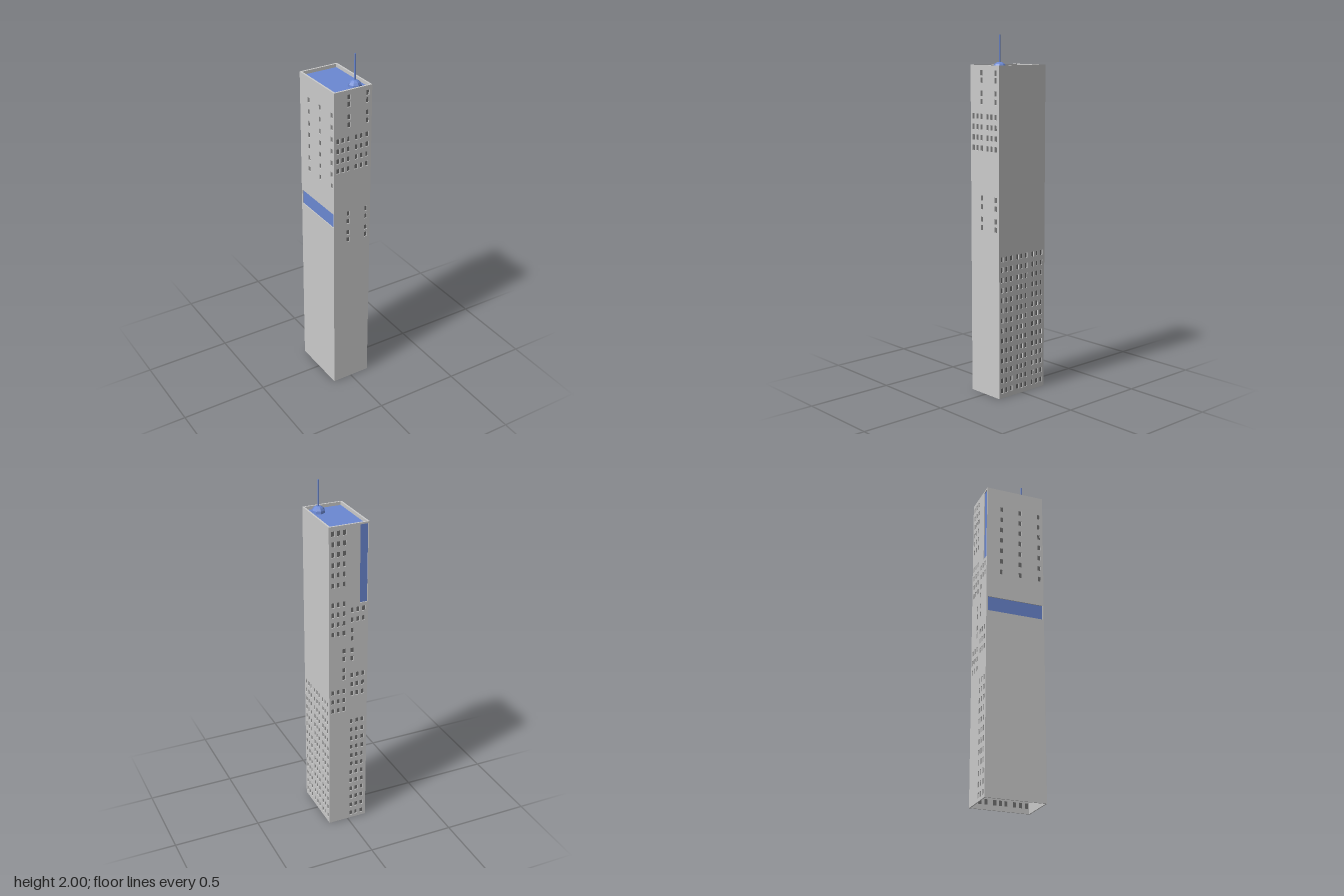
import * as THREE from 'three';
import { mergeGeometries } from 'three/addons/utils/BufferGeometryUtils.js';

const W = 0.23, D = 0.344, H = 1.84, T = 0.006; // tower width, depth, height, wall thickness
const WIN_W = 0.018, WIN_H = 0.029;

const grey = new THREE.MeshStandardMaterial({ color: 0xcccccc, flatShading: true, side: THREE.DoubleSide });
const dark = new THREE.MeshStandardMaterial({ color: 0x707070, side: THREE.DoubleSide });
const blue = new THREE.MeshStandardMaterial({ color: 0x6b88d2, flatShading: true, side: THREE.DoubleSide });

// Window columns, in triplets, measured from the middle of a face seen from outside
const NARROW = [-0.092, -0.06, -0.026, 0.022, 0.054, 0.088];
const WIDE = [-0.151, -0.117, -0.083, -0.035, -0.003, 0.03, 0.08, 0.114, 0.147];
const pick = (cols, ...ids) => ids.map(i => cols[i]);
const rows = (top, count, step = 0.0575) => Array.from({ length: count }, (_, i) => top - i * step);

function part(name, geometry, material) {
  const mesh = new THREE.Mesh(geometry, material);
  mesh.name = name;
  return mesh;
}

function rectPath(PathType, cx, cy, w, h) {
  const p = new PathType();
  p.moveTo(cx - w / 2, cy - h / 2);
  p.lineTo(cx + w / 2, cy - h / 2);
  p.lineTo(cx + w / 2, cy + h / 2);
  p.lineTo(cx - w / 2, cy + h / 2);
  p.closePath();
  return p;
}

// A pane lying at the back of an opening
function pane({ cx, cy, w, h }) {
  return new THREE.PlaneGeometry(w, h).translate(cx, cy, -T + 0.001);
}

// Wall with recessed windows (blocks of [columns, rows]) and an optional blue panel
function makeWall(name, width, blocks, panel) {
  const wall = new THREE.Group();
  wall.name = name;
  const windows = [];
  for (const [cols, ys] of blocks)
    for (const cx of cols)
      for (const cy of ys) windows.push({ cx, cy, w: WIN_W, h: WIN_H });

  const shape = rectPath(THREE.Shape, 0, H / 2, width, H);
  for (const o of panel ? [...windows, panel] : windows)
    shape.holes.push(rectPath(THREE.Path, o.cx, o.cy, o.w, o.h));
  const geo = new THREE.ExtrudeGeometry(shape, { depth: T, bevelEnabled: false }).translate(0, 0, -T);
  wall.add(part(name + 'Surface', geo, grey));
  wall.add(part(name + 'Windows', mergeGeometries(windows.map(pane)), dark));
  if (panel) wall.add(part(name + 'Panel', pane(panel), blue));
  return wall;
}

export function createModel() {
  const tower = new THREE.Group();
  tower.name = 'tower';
  const lefts = pick(NARROW, 0, 1, 2), rights = pick(NARROW, 3, 4, 5);
  const inner = D - 2 * T;

  // Front wall
  const pairs = pick(NARROW, 2, 5);
  const front = makeWall('frontWall', W, [
    [pairs, [1.8, 1.76, 1.69, 1.645, 1.118, 1.07, 1.0, 0.954]],
    [NARROW, rows(1.565, 4)],
  ]);
  front.position.z = D / 2;

  // Left wall, a dense grid over the lower half
  const left = makeWall('leftWall', inner, [[WIDE, rows(0.79, 14)]]);
  left.rotation.y = Math.PI / 2;
  left.position.x = W / 2;

  // Back wall, with a tall panel in the upper corner
  const back = makeWall('backWall', W, [
    [lefts, [...rows(1.8, 6), ...rows(1.4, 4), ...rows(0.87, 3)]],
    [rights, [...rows(1.355, 2), ...rows(0.96, 3), ...rows(0.665, 12)]],
    [[NARROW[2]], [1.118, 1.07, 1.0, 0.954]],
    [[NARROW[3]], [1.235, 1.185, 1.115, 1.065]],
  ], { cx: 0.0865, cy: 1.61, w: 0.045, h: 0.44 });
  back.rotation.y = Math.PI;
  back.position.z = -D / 2;

  // Right wall, with a wide panel below the windows
  const right = makeWall('rightWall', inner, [
    [pick(WIDE, 2, 5, 8), rows(1.71, 7, 0.068)],
  ], { cx: 0, cy: 1.093, w: 0.326, h: 0.085 });
  right.rotation.y = -Math.PI / 2;
  right.position.x = -W / 2;
  tower.add(front, left, back, right);

  // Parapet rim and sunken roof
  const rim = rectPath(THREE.Shape, 0, 0, W - 2 * T, inner);
  rim.holes.push(rectPath(THREE.Path, 0, 0, 0.21, 0.324));
  const rimGeo = new THREE.ExtrudeGeometry(rim, { depth: 0.02, bevelEnabled: false })
    .rotateX(-Math.PI / 2).translate(0, H - 0.02, 0);
  tower.add(part('parapet', rimGeo, grey));
  const roof = part('roof', new THREE.BoxGeometry(W - 2 * T, 0.006, inner), blue);
  roof.position.y = H - 0.022;
  tower.add(roof);

  // Roof dome and mast
  const mount = new THREE.Group();
  mount.name = 'antenna';
  mount.position.set(0.05, H - 0.02, 0.108);
  const dome = new THREE.SphereGeometry(0.038, 8, 4, 0, Math.PI * 2, 0, Math.PI / 2);
  mount.add(part('dome', dome, blue));
  const mast = part('mast', new THREE.CylinderGeometry(0.0045, 0.0045, 0.18, 8), blue);
  mast.position.y = 0.09;
  mount.add(mast);
  tower.add(mount);

  return tower;
}
